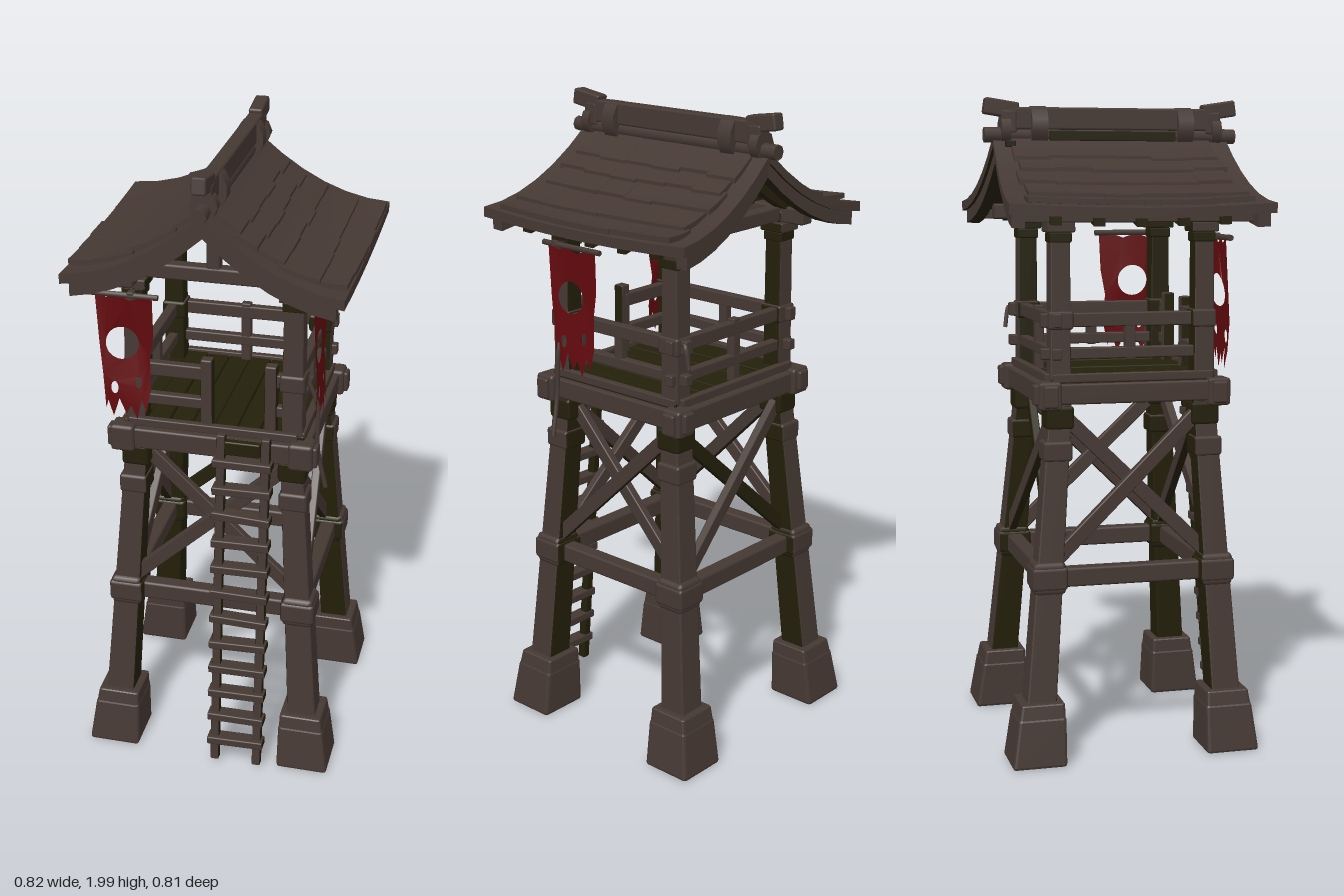
import * as THREE from 'three';
import { RoundedBoxGeometry } from 'three/addons/geometries/RoundedBoxGeometry.js';

const V = (x, y, z) => new THREE.Vector3(x, y, z);
const lerp = THREE.MathUtils.lerp;

export function createModel() {
  const model = new THREE.Group();
  const mat = (name, color, extra = {}) => {
    const m = new THREE.MeshStandardMaterial({ color, ...extra });
    m.name = name;
    return m;
  };
  const wood = mat('weathered wood', 0x453833);
  const moss = mat('dark moss', 0x231f0a);
  const cloth = mat('red cloth', 0x630a0e, { side: THREE.DoubleSide });
  // Face order: +x, -x, +y, -y, +z, -z
  const mossyUnder = [wood, wood, wood, moss, wood, wood];
  const mossySides = [moss, moss, wood, moss, wood, wood];
  const mossyEnds = [wood, wood, wood, moss, moss, moss];

  let seed = 7;
  const rand = () => (seed = (seed * 16807) % 2147483647) / 2147483647;

  function add(name, geo, material = wood, parent = model) {
    const mesh = new THREE.Mesh(geo, material);
    mesh.name = name;
    parent.add(mesh);
    return mesh;
  }
  function block(name, x, y, z, w, h, d, material) {
    const m = add(name, new RoundedBoxGeometry(w, h, d, 1, Math.min(w, h, d) * 0.15), material);
    m.position.set(x, y, z);
    return m;
  }
  // Straight timber between two points
  function beam(name, a, b, w, h, material) {
    const m = block(name, 0, 0, 0, w, h, a.distanceTo(b), material);
    m.position.copy(a).lerp(b, 0.5);
    m.lookAt(b);
    return m;
  }
  // Upright timber that leans and tapers
  function upright(name, a, b, wa, wb, material) {
    const g = new RoundedBoxGeometry(1, 1, 1, 1, 0.06);
    const p = g.attributes.position;
    for (let i = 0; i < p.count; i++) {
      const t = p.getY(i) + 0.5, w = lerp(wa, wb, t);
      p.setXYZ(i, lerp(a.x, b.x, t) + p.getX(i) * w, lerp(a.y, b.y, t), lerp(a.z, b.z, t) + p.getZ(i) * w);
    }
    g.computeVertexNormals();
    return add(name, g, material);
  }

  // Four leaning legs, mossy on the faces turned inward
  const corners = [[1, 1], [1, -1], [-1, -1], [-1, 1]];
  const legAt = ([sx, sz], y) => {
    const t = Math.min(1, (y - 0.18) / 0.92);
    return V(sx * lerp(0.303, 0.24, t), y, sz * lerp(sz > 0 ? 0.277 : 0.302, 0.222, t));
  };
  for (const c of corners) {
    const inner = [c[0] < 0, c[0] > 0, false, true, c[1] < 0, c[1] > 0].map(m => (m ? moss : wood));
    upright('foot', legAt(c, 0), legAt(c, 0.15), 0.166, 0.144);
    upright('footCollar', legAt(c, 0.11), legAt(c, 0.19), 0.148, 0.132);
    upright('leg', legAt(c, 0.12), legAt(c, 1.1), 0.092, 0.068, inner);
    upright('roofPost', legAt(c, 1.08), legAt(c, 1.66), 0.064, 0.058, inner);
    const wrap = (name, y, w, h, m) => {
      const p = legAt(c, y);
      block(name, p.x, p.y, p.z, w, h, w, m);
    };
    wrap('lowerJoint', 0.56, 0.108, 0.07, inner);
    wrap('jointBand', 0.56, 0.1, 0.1, inner);
    wrap('upperJoint', 0.94, 0.088, 0.06, inner);
    wrap('mossyWrap', 1.04, 0.086, 0.07, moss);
    wrap('railWrap', 1.33, 0.076, 0.055, inner);
    wrap('postCap', 1.605, 0.085, 0.03, inner);
    wrap('mossyCap', 1.575, 0.068, 0.03, moss);
  }

  // Lower beams and cross braces on every face
  corners.forEach((a, i) => {
    const b = corners[(i + 1) % 4];
    const mid = legAt(a, 0.9).add(legAt(b, 0.9)).multiplyScalar(0.5);
    const out = V(mid.x, 0, mid.z).normalize();
    beam('lowerBeam', legAt(a, 0.557), legAt(b, 0.557), 0.05, 0.058, mossyUnder);
    [[a, b, 0.012], [b, a, -0.014]].forEach(([p, q, off]) =>
      beam('crossBrace', legAt(p, 0.59).addScaledVector(out, off), legAt(q, 1.06).addScaledVector(out, off),
        0.026, 0.044, i === 1 && off < 0 ? moss : mossyUnder));
  });

  // Platform frame and floor
  for (const s of [1, -1]) {
    beam('platformBeam', V(-0.325, 1.108, s * 0.262), V(0.325, 1.108, s * 0.262), 0.045, 0.066, mossyUnder);
    beam('platformBeam', V(s * 0.275, 1.112, -0.31), V(s * 0.275, 1.112, 0.29), 0.045, 0.062, mossyUnder);
    beam('floorJoist', V(s * 0.1, 1.1, -0.25), V(s * 0.1, 1.1, 0.25), 0.04, 0.045, moss);
    beam('floorEdge', V(-0.26, 1.158, s * 0.258), V(0.26, 1.158, s * 0.258), 0.024, 0.026);
    beam('floorEdge', V(s * 0.268, 1.158, -0.25), V(s * 0.268, 1.158, 0.25), 0.024, 0.026);
    for (const t of [1, -1]) block('beamEndCap', s * 0.275, 1.108, t * 0.262, 0.075, 0.085, 0.07, mossyUnder);
  }
  for (let i = 0; i < 8; i++)
    block('floorPlank', -0.245 + i * 0.07, 1.142 + rand() * 0.006, 0, 0.068, 0.03, 0.51, moss);
  block('ladderLanding', 0.1, 1.118, 0.285, 0.11, 0.045, 0.03, moss);

  // Railings, open at the ladder
  for (const [y, h] of [[1.33, 0.042], [1.23, 0.034]]) {
    for (const s of [1, -1]) beam('sideRail', V(s * 0.245, y, -0.28), V(s * 0.245, y, 0.24), 0.03, h, mossyUnder);
    beam('backRail', V(-0.28, y, -0.235), V(0.29, y, -0.235), 0.03, h, mossyUnder);
    beam('frontRail', V(-0.25, y, 0.232), V(-0.02, y, 0.232), 0.03, h, mossyUnder);
    beam('frontRail', V(0.175, y, 0.232), V(0.26, y, 0.232), 0.03, h, mossyUnder);
  }
  for (const x of [-0.02, 0.175]) block('gatePost', x, 1.255, 0.238, 0.036, 0.25, 0.036, mossySides);
  for (const s of [1, -1]) block('railStrut', s * 0.245, 1.27, -0.005, 0.028, 0.12, 0.032);
  block('railStrut', -0.01, 1.26, -0.235, 0.032, 0.2, 0.028);

  // Ladder
  const ladderZ = y => lerp(0.39, 0.29, (y - 0.02) / 1.13);
  for (const x of [0.035, 0.172])
    beam('ladderRail', V(x, 0.02, ladderZ(0.02)), V(x, 1.16, ladderZ(1.16)), 0.027, 0.028, mossySides);
  for (let i = 0; i < 12; i++) {
    const y = 0.1 + i * 0.0885, tilt = (rand() - 0.5) * 0.01;
    beam('rung', V(0.012, y - tilt, ladderZ(y) + 0.004), V(0.194, y + tilt, ladderZ(y) + 0.004), 0.046, 0.026, mossyEnds);
  }

  // Curved roof: every panel follows the same sweeping surface
  const roofY = (x, z) => 1.875 - 0.95 * Math.abs(x) + 1.05 * x * x + 0.09 * z * z * Math.abs(x) / 0.41;
  function panel(name, xa, xb, za, zb, lift, thick, material = wood, rise = 0) {
    const g = new THREE.BoxGeometry(1, 1, 1, 6, 1, 6);
    const p = g.attributes.position;
    for (let i = 0; i < p.count; i++) {
      const x = lerp(xa, xb, p.getX(i) + 0.5);
      const down = Math.abs(x - (xa + xb > 0 ? xa : xb)) / (xb - xa);
      const z = lerp(za, zb, p.getZ(i) + 0.5) * (1 + 0.08 * Math.abs(x) / 0.41);
      p.setXYZ(i, x, roofY(x, z) + lift + rise * down + (p.getY(i) - 0.5) * thick, z);
    }
    g.computeVertexNormals();
    return add(name, g, material);
  }
  const rows = [[0.02, 0.1], [0.085, 0.155], [0.14, 0.225], [0.21, 0.325], [0.31, 0.408]];
  for (const s of [1, -1]) {
    const side = (name, a, b, ...rest) => panel(name, s > 0 ? a : -b, s > 0 ? b : -a, ...rest);
    side('roofDeck', 0, 0.41, -0.372, 0.372, 0, 0.03, mossyUnder);
    // Shingle rows
    rows.forEach(([a, b], r) => {
      for (let k = 0; k < 6; k++) {
        const z = -0.315 + k * 0.105 + (r % 2 ? 0.008 : -0.005);
        side('shingle', a, b + (rand() - 0.5) * 0.012, z, z + 0.105, 0.01 + rand() * 0.002, 0.016, wood, 0.012);
      }
    });
    // Gable boards and rafters
    for (const t of [1, -1])
      side('gableBoard', 0, 0.385, t * 0.345 - 0.018, t * 0.345 + 0.018, -0.026, 0.045, mossyUnder);
    for (let k = -2; k <= 2; k++)
      side('rafter', 0, 0.37, k * 0.12 - 0.016, k * 0.12 + 0.016, -0.026, 0.034, moss);
    beam('eavePurlin', V(s * 0.34, 1.635, -0.35), V(s * 0.34, 1.635, 0.35), 0.03, 0.03, mossyUnder);
    beam('wallPlate', V(s * 0.24, 1.645, -0.33), V(s * 0.24, 1.645, 0.33), 0.05, 0.05, mossyUnder);
    // Gable truss
    beam('tieBeam', V(-0.28, 1.645, s * 0.222), V(0.28, 1.645, s * 0.222), 0.045, 0.046, mossyUnder);
    block('kingPost', 0, 1.745, s * 0.222, 0.04, 0.19, 0.04);
    // Ridge ends and round bands
    beam('ridgeHorn', V(0, 1.952, s * 0.295), V(0, 1.968, s * 0.4), 0.044, 0.05);
    block('ridgeBlock', 0, 1.92, s * 0.325, 0.05, 0.07, 0.05);
    const band = add('ridgeBand', new THREE.CylinderGeometry(0.046, 0.046, 0.05, 10));
    band.rotation.x = Math.PI / 2;
    band.position.set(0, 1.908, s * 0.232);
    band.scale.z = 1.3;
    const boss = add('gableBoss', new THREE.CylinderGeometry(0.042, 0.042, 0.03, 8));
    boss.rotation.x = Math.PI / 2;
    boss.position.set(0, 1.895, s * 0.335);
  }
  const pole = add('ridgePole', new THREE.CylinderGeometry(0.023, 0.023, 0.8, 8));
  pole.rotation.x = Math.PI / 2;
  pole.position.y = 1.88;
  block('ridgeBeam', 0, 1.93, 0, 0.046, 0.068, 0.66);
  block('ridgeMoss', -0.025, 1.878, 0, 0.018, 0.03, 0.4, moss);
  block('mossPatch', -0.04, 1.852, -0.325, 0.026, 0.02, 0.03, moss);

  // Torn banners on short poles
  function banner(x, z, turn, width, wave) {
    const g = new THREE.Group();
    g.name = 'banner';
    const w = width / 2;
    const outline = [[-1, 0], [-0.6, -0.012], [-0.2, 0], [0.2, -0.014], [0.6, 0], [1, 0], [0.96, -0.12], [0.82, -0.2],
      [0.86, -0.3], [0.72, -0.37], [0.56, -0.33], [0.4, -0.395], [0.2, -0.35], [0.02, -0.38], [-0.2, -0.33],
      [-0.45, -0.395], [-0.6, -0.34], [-0.7, -0.37], [-0.74, -0.25], [-0.86, -0.16]];
    const s = new THREE.Shape(outline.map(([u, v]) => new THREE.Vector2(u * w, v)));
    for (const [u, v, rx, ry] of [[-0.1, -0.155, 0.05, 0.05], [-0.35, -0.295, 0.011, 0.02], [0.45, -0.275, 0.009, 0.018]]) {
      const hole = new THREE.Path();
      hole.absellipse(u * w, v, rx, ry, 0, Math.PI * 2, true);
      s.holes.push(hole);
    }
    const geo = new THREE.ShapeGeometry(s, 20);
    const p = geo.attributes.position;
    for (let i = 0; i < p.count; i++) p.setZ(i, wave * Math.sin(p.getY(i) * 14 + p.getX(i) * 12));
    geo.computeVertexNormals();
    add('bannerCloth', geo, cloth, g);
    const rod = add('bannerPole', new THREE.CylinderGeometry(0.009, 0.009, width + 0.03, 8), wood, g);
    rod.rotation.z = Math.PI / 2;
    rod.position.y = 0.003;
    g.position.set(x, 1.57, z);
    g.rotation.y = turn;
    model.add(g);
  }
  banner(-0.263, 0.272, 0, 0.18, 0.012);
  banner(0.302, 0.14, Math.PI / 2, 0.205, 0.005);
  beam('poleBracket', V(-0.24, 1.575, 0.2), V(-0.24, 1.575, 0.28), 0.02, 0.02);
  beam('poleBracket', V(0.22, 1.575, 0.21), V(0.31, 1.575, 0.21), 0.02, 0.02);

  // Loose hanging ropes
  const rope = pts => add('rope', new THREE.TubeGeometry(new THREE.CatmullRomCurve3(pts), 12, 0.007, 6));
  rope([V(0.27, 1.34, 0.2), V(0.305, 1.25, 0.2), V(0.312, 1.1, 0.205), V(0.338, 0.97, 0.2)]);
  rope([V(0.25, 1.33, -0.25), V(0.26, 1.34, -0.275), V(0.26, 1.27, -0.29)]);
  return model;
}
